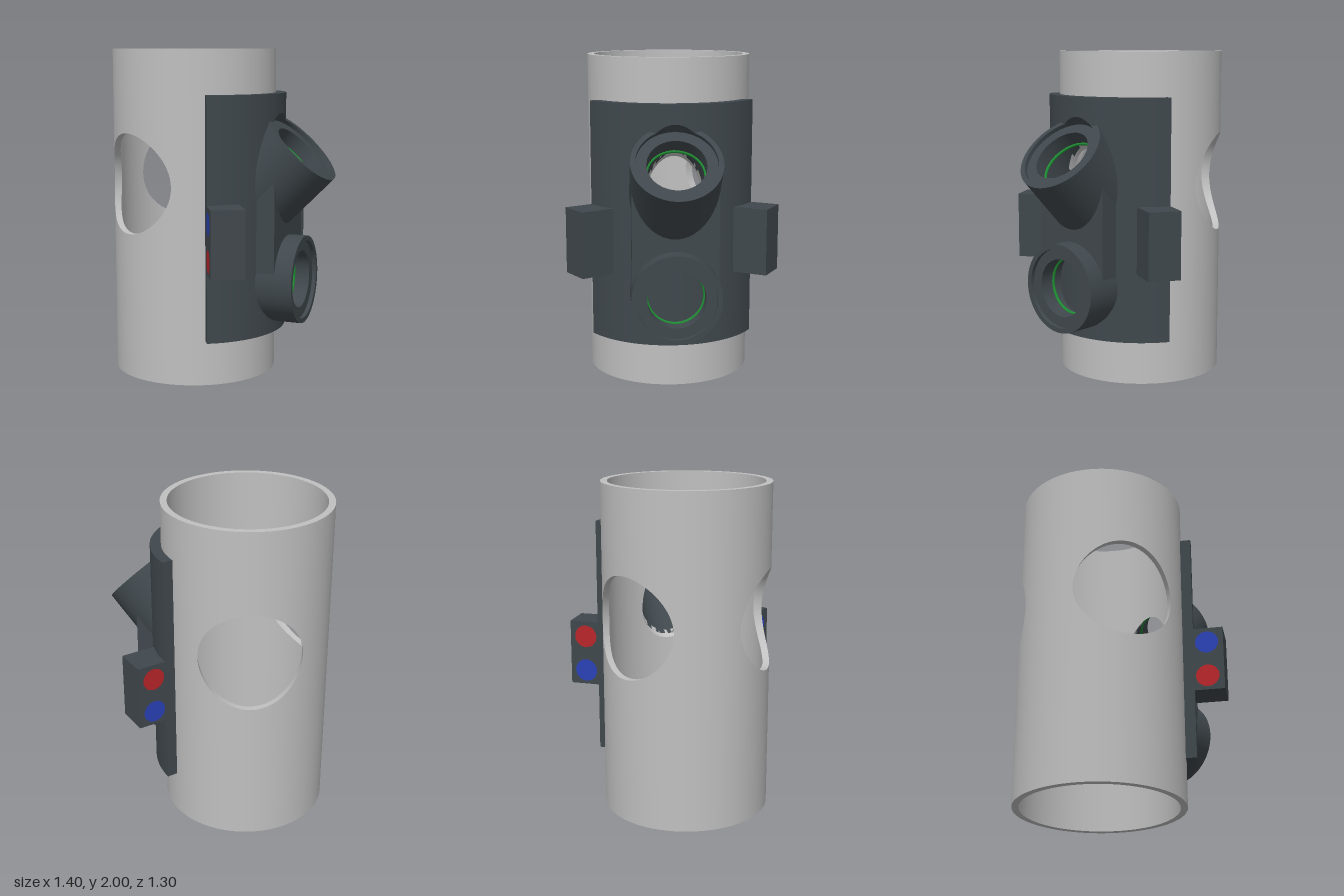
import * as THREE from 'three';
import { toCreasedNormals } from 'three/addons/utils/BufferGeometryUtils.js';

const AXIS_X = -0.2; // pipe axis position
const R_OUT = 0.505, R_IN = 0.465, R_SADDLE = 0.57;

const mat = (name, color) => {
  const m = new THREE.MeshStandardMaterial({ color });
  m.name = name;
  return m;
};

const add = (parent, name, geometry, material) => {
  const mesh = new THREE.Mesh(geometry, material);
  mesh.name = name;
  parent.add(mesh);
  return mesh;
};

// Columns of a curved wall [outer, inner]; lo..hi is the gap left by a round hole.
function wallColumns(radii, start, end, holes) {
  const cols = [];
  const plain = (angle, y) => radii.map(() => ({ angle, lo: y, hi: y }));
  const fillTo = (next) => {
    const prev = cols[cols.length - 1];
    const n = Math.max(1, Math.ceil(Math.abs(next[0].angle - prev[0].angle) / 0.07));
    for (let k = 1; k < n; k++) {
      cols.push(prev.map((p, j) => {
        const y = THREE.MathUtils.lerp(p.lo, next[j].lo, k / n);
        return { angle: THREE.MathUtils.lerp(p.angle, next[j].angle, k / n), lo: y, hi: y };
      }));
    }
    cols.push(next);
  };
  cols.push(plain(start, 1.2));
  for (const h of holes) {
    const N = 32;
    for (let k = 0; k <= N; k++) {
      const t = -Math.PI / 2 + Math.PI * k / N;
      const half = k % N === 0 ? 0 : h.r * Math.cos(t) * Math.hypot(1, h.slope);
      const col = radii.map((R) => {
        const d = Math.asin(h.r * Math.sin(t) / R);
        const y = h.y + h.slope * R * Math.cos(d);
        return { angle: h.angle + d, lo: y - half, hi: y + half };
      });
      if (k === 0) fillTo(col); else cols.push(col);
    }
  }
  fillTo(plain(end, 1.2));
  return cols;
}

// Thick cylindrical wall with round openings
function curvedWall(radii, y0, y1, start, end, holes, capped) {
  const cols = wallColumns(radii, start, end, holes);
  const pos = [];
  const at = (c, j, y) => new THREE.Vector3(
    AXIS_X + radii[j] * Math.cos(c[j].angle), y, radii[j] * Math.sin(c[j].angle));
  const tri = (a, b, c) => {
    const area = b.clone().sub(a).cross(c.clone().sub(a)).length();
    if (area > 1e-9) for (const p of [a, b, c]) pos.push(p.x, p.y, p.z);
  };
  const quad = (a, b, c, d) => { tri(a, b, c); tri(a, c, d); };
  const level = { bottom: () => y0, lo: (s) => s.lo, hi: (s) => s.hi, top: () => y1 };
  for (let k = 0; k < cols.length - 1; k++) {
    const P = (e, j, l) => at(cols[k + e], j, level[l](cols[k + e][j]));
    for (const [a, b] of [['bottom', 'lo'], ['hi', 'top']]) {
      quad(P(0, 0, a), P(0, 0, b), P(1, 0, b), P(1, 0, a));
      quad(P(0, 1, a), P(1, 1, a), P(1, 1, b), P(0, 1, b));
    }
    for (const l of ['top', 'lo']) quad(P(0, 0, l), P(0, 1, l), P(1, 1, l), P(1, 0, l));
    for (const l of ['bottom', 'hi']) quad(P(0, 0, l), P(1, 0, l), P(1, 1, l), P(0, 1, l));
  }
  if (capped) {
    const a = cols[0], b = cols[cols.length - 1];
    quad(at(a, 0, y0), at(a, 1, y0), at(a, 1, y1), at(a, 0, y1));
    quad(at(b, 0, y0), at(b, 0, y1), at(b, 1, y1), at(b, 1, y0));
  }
  const g = new THREE.BufferGeometry();
  g.setAttribute('position', new THREE.Float32BufferAttribute(pos, 3));
  return toCreasedNormals(g, 0.5);
}

// Socket tube with a stepped mouth; its root is trimmed to the pipe wall
function socketGeometry(tilt, mouthX) {
  const profile = [[0.27, -1], [0.27, 0], [0.24, 0], [0.24, -0.025], [0.175, -0.025], [0.175, -1]]
    .map(([x, y]) => new THREE.Vector2(x, y));
  const g = new THREE.LatheGeometry(profile, 64);
  const p = g.attributes.position;
  for (let i = 0; i < p.count; i++) {
    if (p.getY(i) > -0.9) continue;
    const target = AXIS_X + Math.sqrt(0.485 ** 2 - p.getZ(i) ** 2);
    p.setY(i, (target - mouthX - p.getX(i) * Math.cos(tilt)) / Math.sin(tilt));
  }
  return toCreasedNormals(g, 0.5);
}

// Web between the sockets, hollowed to follow both tubes
function webGeometry() {
  const pts = [], n = 20;
  for (let k = 0; k <= n; k++) {
    const a = Math.PI * (1 - k / n);
    pts.push(new THREE.Vector2(0.26 * Math.cos(a), 0.6 + 0.26 * Math.sin(a)));
  }
  for (let k = 0; k <= n; k++) {
    const a = Math.PI * k / n;
    pts.push(new THREE.Vector2(0.26 * Math.cos(a), 1.327 - 0.367 * Math.sin(a)));
  }
  const g = new THREE.ExtrudeGeometry(new THREE.Shape(pts), { depth: 0.12, bevelEnabled: false });
  g.rotateY(Math.PI / 2).translate(0.3, 0, 0);
  const p = g.attributes.position;
  for (let i = 0; i < p.count; i++) {
    if (p.getY(i) > 0.9) p.setY(i, p.getY(i) + p.getX(i) - 0.42);
  }
  return toCreasedNormals(g, 0.5);
}

export function createModel() {
  const model = new THREE.Group();
  model.name = 'pipeFitting';
  const grey = mat('pipeGrey', 0xc0c0c0);
  const dark = mat('saddleDark', 0x40484d);
  const green = mat('sealGreen', 0x1e8c32);
  const red = mat('markerRed', 0xb8262a);
  const blue = mat('markerBlue', 0x2a42b8);

  // Main pipe with two side openings and the slanted inlet
  const side = (s) => ({ angle: s * Math.PI * 2 / 3, r: 0.305, y: 1.195, slope: 0 });
  const inlet = (r) => ({ angle: 0, r, y: 0.707, slope: 1 });
  add(model, 'pipe', curvedWall([R_OUT, R_IN], 0, 2, -Math.PI, Math.PI,
    [side(-1), inlet(0.175), side(1)], false), grey);

  // Saddle clamped around a third of the pipe
  add(model, 'saddle', curvedWall([R_SADDLE, R_OUT], 0.275, 1.735, -Math.PI / 3, Math.PI / 3,
    [inlet(0.24)], true), dark);
  add(model, 'socketWeb', webGeometry(), dark);

  // Slanted and straight sockets with seal rings
  for (const [name, tilt, x, y] of [
    ['slantedSocket', Math.PI / 4, 0.509, 1.416],
    ['straightSocket', Math.PI / 2, 0.53, 0.6],
  ]) {
    const socket = new THREE.Group();
    socket.name = name;
    socket.position.set(x, y, 0);
    socket.rotation.z = -tilt;
    add(socket, name + 'Tube', socketGeometry(tilt, x), dark);
    const seal = add(socket, name + 'Seal', new THREE.TorusGeometry(0.175, 0.01, 10, 64), green);
    seal.rotation.x = Math.PI / 2;
    seal.position.y = -0.125;
    model.add(socket);
  }

  // Side lugs with coloured markers
  for (const s of [1, -1]) {
    const lug = new THREE.Group();
    lug.name = s > 0 ? 'frontLug' : 'backLug';
    lug.position.x = AXIS_X;
    lug.rotation.y = -s * Math.PI / 3;
    add(lug, 'lugBlock', new THREE.BoxGeometry(0.24, 0.405, 0.197), dark)
      .position.set(0.63, 0.8975, -s * 0.0985);
    for (const [name, y, m] of [
      ['upperMarker', 1.005, s > 0 ? blue : red],
      ['lowerMarker', 0.785, s > 0 ? red : blue],
    ]) {
      const disc = add(lug, name, new THREE.CircleGeometry(0.07, 40), m);
      disc.position.set(0.65, y, s * 0.003);
      if (s < 0) disc.rotation.y = Math.PI;
    }
    model.add(lug);
  }
  return model;
}
